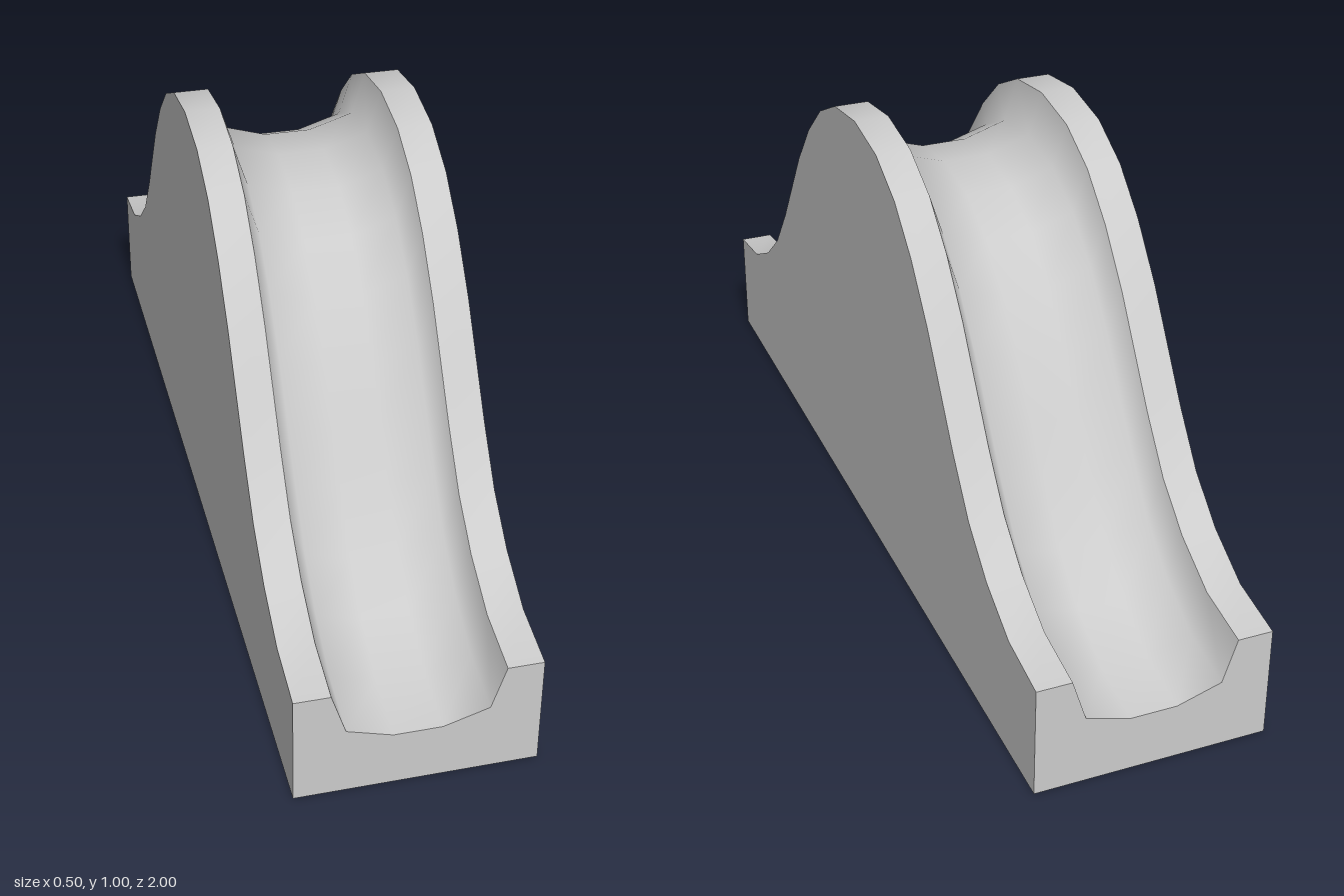
import * as THREE from 'three';

// Half of the hump outline as [z, y], mirrored to the back
const half = [[0, 1], [0.135, 0.98], [0.245, 0.925], [0.34, 0.84], [0.43, 0.73], [0.5, 0.625],
  [0.57, 0.52], [0.655, 0.41], [0.75, 0.33], [0.865, 0.27], [1, 0.25]];
const path = [...half.slice(1).reverse().map(([z, y]) => [-z, y]), ...half];

const W = 0.25;
const groove = [[-0.175, 0], [-0.145, -0.095], [-0.05, -0.125], [0.05, -0.125], [0.145, -0.095], [0.175, 0]];
const GROUND = null;

// Sweeps section points [x, drop below the outline] along the hump; GROUND pins a point to y = 0
function strip(section) {
  const pos = [], idx = [], n = section.length;
  path.forEach(([z, y], j) => {
    for (const [x, dy] of section) pos.push(x, dy === GROUND ? 0 : y + dy, z);
    if (j === path.length - 1) return;
    for (let i = 0; i < n - 1; i++) {
      const a = j * n + i, b = a + n;
      idx.push(a, b, a + 1, a + 1, b, b + 1);
    }
  });
  const g = new THREE.BufferGeometry();
  g.setAttribute('position', new THREE.Float32BufferAttribute(pos, 3));
  g.setIndex(idx);
  g.computeVertexNormals();
  return g;
}

export function createModel() {
  const model = new THREE.Group();
  model.name = 'humpSlide';
  const material = new THREE.MeshStandardMaterial({ color: 0xcccccc });
  const add = (name, geometry) => {
    const mesh = new THREE.Mesh(geometry, material);
    mesh.name = name;
    model.add(mesh);
    return mesh;
  };

  // Smooth channel, flat rims, side walls and underside
  add('channel', strip(groove));
  add('rightRim', strip([[-W, 0], [-0.175, 0]]));
  add('leftRim', strip([[0.175, 0], [W, 0]]));
  add('rightWall', strip([[-W, GROUND], [-W, 0]]));
  add('leftWall', strip([[W, 0], [W, GROUND]]));
  add('underside', strip([[W, GROUND], [-W, GROUND]]));

  // Notched end faces
  const outline = [[-W, 0], [W, 0], [W, 0.25],
    ...groove.map(([x, dy]) => [x, 0.25 + dy]).reverse(), [-W, 0.25]];
  const end = new THREE.ShapeGeometry(new THREE.Shape(outline.map(p => new THREE.Vector2(...p))));
  add('frontEnd', end).position.z = 1;
  const back = add('backEnd', end);
  back.position.z = -1;
  back.rotation.y = Math.PI;

  return model;
}
